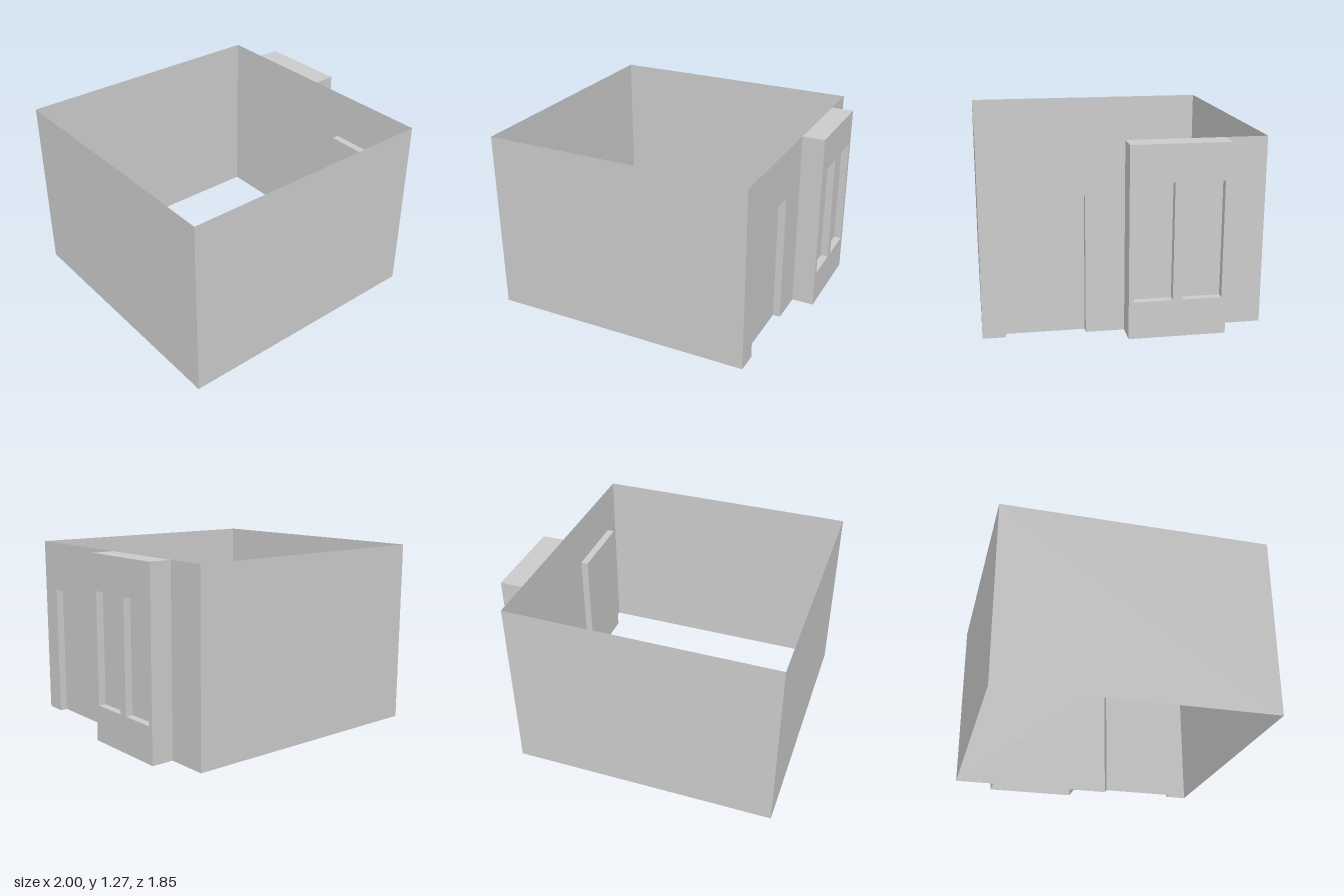
import * as THREE from 'three';

const H = 1.27;                    // wall height
const LEFT = -1, WALL = 0.845, BAY = 1; // x of the far wall, the door wall and the bay front
const DEPTH = 0.925;               // half the room depth
const RECESS = 0.052;              // depth of door and window reveals

const material = new THREE.MeshStandardMaterial({ color: 0xcccccc, side: THREE.DoubleSide });

// Flat sheet with its centre at (x, y, z), facing along the given axis
function sheet(name, axis, w, h, x, y, z) {
  const g = new THREE.PlaneGeometry(w, h);
  if (axis === 'x') g.rotateY(Math.PI / 2);
  if (axis === 'y') g.rotateX(-Math.PI / 2);
  const mesh = new THREE.Mesh(g, material);
  mesh.name = name;
  mesh.position.set(x, y, z);
  return mesh;
}

// Sheet facing +x cut from a shape drawn in (-z, y)
function cutSheet(name, shape, x) {
  const mesh = new THREE.Mesh(new THREE.ShapeGeometry(shape).rotateY(Math.PI / 2), material);
  mesh.name = name;
  mesh.position.x = x;
  return mesh;
}

// Closed panel set back from an opening, with jambs, head and optional sill
function recess(name, x, z0, z1, y0, y1, sill) {
  const group = new THREE.Group();
  group.name = name;
  const w = z1 - z0, h = y1 - y0, zc = (z0 + z1) / 2, yc = (y0 + y1) / 2, xc = x - RECESS / 2;
  group.add(sheet('panel', 'x', w, h, x - RECESS, yc, zc));
  for (const z of [z0, z1]) group.add(sheet('jamb', 'z', RECESS, h, xc, yc, z));
  group.add(sheet('head', 'y', RECESS, w, xc, y1, zc));
  if (sill) group.add(sheet('sill', 'y', RECESS, w, xc, y0, zc));
  return group;
}

export function createModel() {
  const model = new THREE.Group();
  model.name = 'room';

  // Plain walls
  const length = WALL - LEFT, xc = (WALL + LEFT) / 2;
  model.add(
    sheet('frontWall', 'z', length, H, xc, H / 2, DEPTH),
    sheet('backWall', 'z', length, H, xc, H / 2, -DEPTH),
    sheet('sideWall', 'x', 2 * DEPTH, H, LEFT, H / 2, 0)
  );

  // Door wall, notched from the floor for the doorway
  const door = { z0: 0.255, z1: 0.775, top: 0.925 };
  const wall = new THREE.Shape([
    [-DEPTH, 0], [-door.z1, 0], [-door.z1, door.top], [-door.z0, door.top],
    [-door.z0, 0], [DEPTH, 0], [DEPTH, H], [-DEPTH, H],
  ].map(([u, v]) => new THREE.Vector2(u, v)));
  model.add(cutSheet('doorWall', wall, WALL));
  model.add(recess('door', WALL, door.z0, door.z1, 0, door.top, false));

  // Projecting bay with two windows, open underneath
  const bay = new THREE.Group();
  bay.name = 'bay';
  const bz0 = -0.64, bz1 = 0, bw = BAY - WALL, bx = (BAY + WALL) / 2;
  const face = new THREE.Shape([[-bz1, 0], [-bz0, 0], [-bz0, H], [-bz1, H]]
    .map(([u, v]) => new THREE.Vector2(u, v)));
  const y0 = 0.25, y1 = 1.025;
  for (const [z0, z1] of [[-0.287, -0.03], [-0.608, -0.35]]) {
    face.holes.push(new THREE.Path([[-z1, y0], [-z1, y1], [-z0, y1], [-z0, y0]]
      .map(([u, v]) => new THREE.Vector2(u, v))));
    bay.add(recess('window', BAY, z0, z1, y0, y1, true));
  }
  bay.add(cutSheet('bayFront', face, BAY));
  for (const z of [bz0, bz1]) bay.add(sheet('baySide', 'z', bw, H, bx, H / 2, z));
  bay.add(sheet('bayTop', 'y', bw, bz1 - bz0, bx, H, (bz0 + bz1) / 2));
  model.add(bay);

  return model;
}
